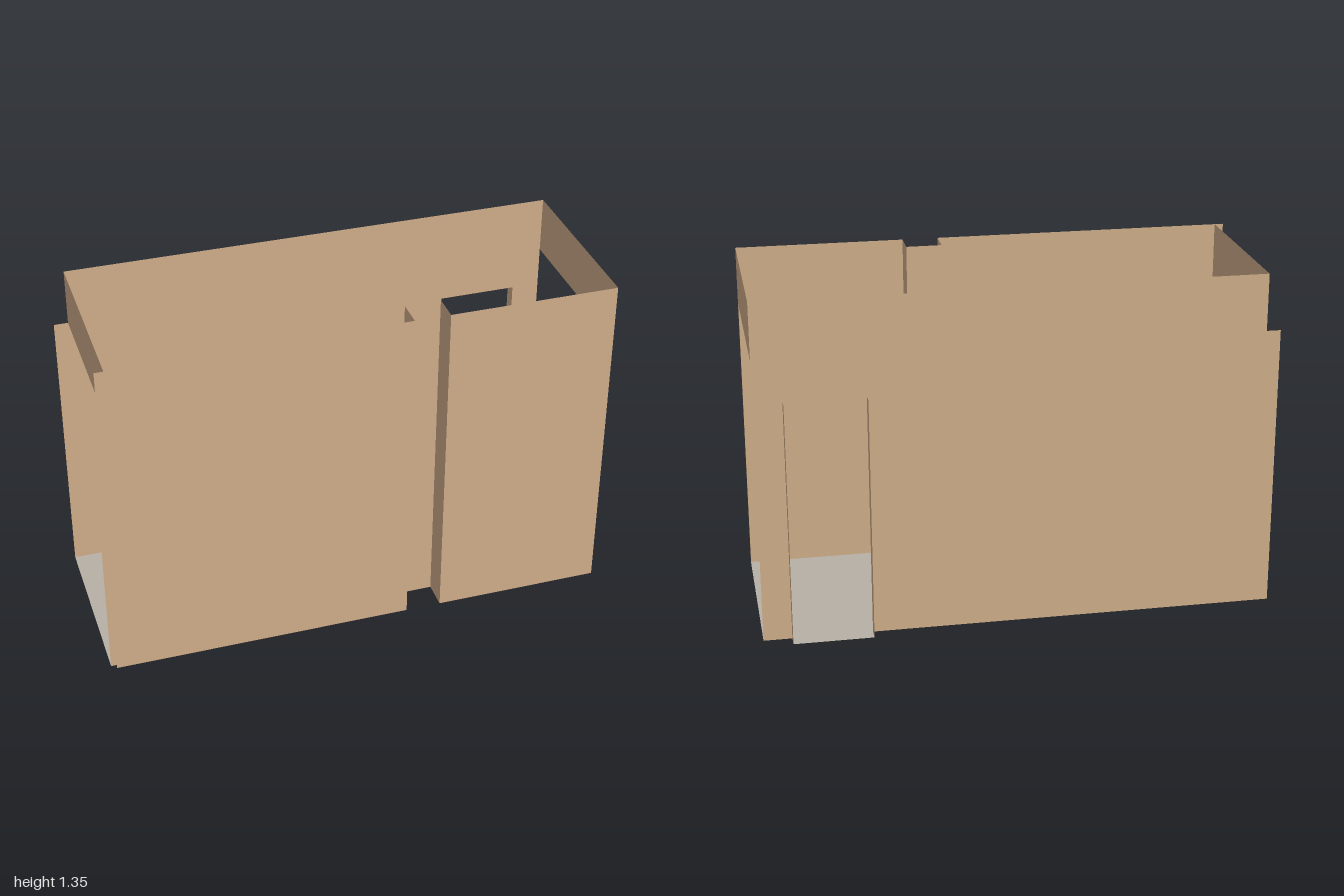
import * as THREE from 'three';

const TOP = 1.35;       // wall height
const OPENING = 1.125;  // height of the open ends
const DOOR = 0.965;     // height of the back doorway
const FRONT = 0.39, BACK = -0.34, RECESS = -0.39;
const LEFT_LINTEL_X = 1, RIGHT_LINTEL_X = -0.945;

export function createModel() {
  const model = new THREE.Group();
  model.name = 'room';

  const wallMat = new THREE.MeshStandardMaterial({ color: 0xd0ae8a, side: THREE.DoubleSide });
  wallMat.name = 'tan wall';
  const floorMat = new THREE.MeshStandardMaterial({ color: 0xb8b0a5, side: THREE.DoubleSide });
  floorMat.name = 'grey floor';

  const add = (name, geometry, material) => {
    const mesh = new THREE.Mesh(geometry, material);
    mesh.name = name;
    model.add(mesh);
    return mesh;
  };
  const outline = (points) =>
    new THREE.ShapeGeometry(new THREE.Shape(points.map(([x, y]) => new THREE.Vector2(x, y))));

  // Upright thin panel between two plan points (x, z)
  const panel = (name, [x0, z0], [x1, z1], y0, y1) => {
    const g = new THREE.PlaneGeometry(Math.hypot(x1 - x0, z1 - z0), y1 - y0);
    g.rotateY(-Math.atan2(z1 - z0, x1 - x0));
    g.translate((x0 + x1) / 2, (y0 + y1) / 2, (z0 + z1) / 2);
    add(name, g, wallMat);
  };

  // Floor with the front notch, the doorway sill and the small corner step
  const floor = outline([
    [-1, BACK], [0.58, BACK], [0.58, RECESS], [0.89, RECESS], [0.89, BACK], [1, BACK],
    [1, FRONT], [0.34, FRONT], [0.34, 0.28], [0.2, 0.28], [0.2, FRONT],
    [-0.945, FRONT], [-0.945, 0.372], [-1, 0.372],
  ].map(([x, z]) => [x, -z]));
  floor.rotateX(-Math.PI / 2);
  add('floor', floor, floorMat);

  // Front wall folding around the notch
  const plan = [[-0.98, FRONT], [0.2, FRONT], [0.2, 0.28], [0.34, 0.28], [0.34, FRONT], [1, FRONT]];
  const names = ['frontWallRight', 'notchSideRight', 'notchBack', 'notchSideLeft', 'frontWallLeft'];
  names.forEach((name, i) => panel(name, plan[i], plan[i + 1], 0, TOP));

  // Back wall with the doorway and the stepped end
  const back = outline([
    [-1, 0], [0.58, 0], [0.58, DOOR], [0.89, DOOR], [0.89, 0], [1, 0],
    [1, TOP], [RIGHT_LINTEL_X, TOP], [RIGHT_LINTEL_X, OPENING], [-1, OPENING],
  ]);
  back.translate(0, 0, BACK);
  add('backWall', back, wallMat);

  // Doorway jambs
  for (const x of [0.58, 0.89]) panel('doorJamb', [x, BACK], [x, RECESS], 0, DOOR);

  // Lintels over the open ends
  panel('leftLintel', [LEFT_LINTEL_X, FRONT], [LEFT_LINTEL_X, BACK], OPENING, TOP);
  panel('rightLintel', [RIGHT_LINTEL_X, BACK], [RIGHT_LINTEL_X, FRONT], OPENING, TOP);

  // Narrow returns beside the open ends
  panel('leftEndJamb', [1, FRONT], [1, 0.375], 0, OPENING);
  panel('rightEndJamb', [-0.945, 0.372], [-0.945, FRONT], 0, OPENING);
  panel('rightEndReturn', [-1, 0.372], [-0.945, 0.372], 0, OPENING);

  return model;
}
